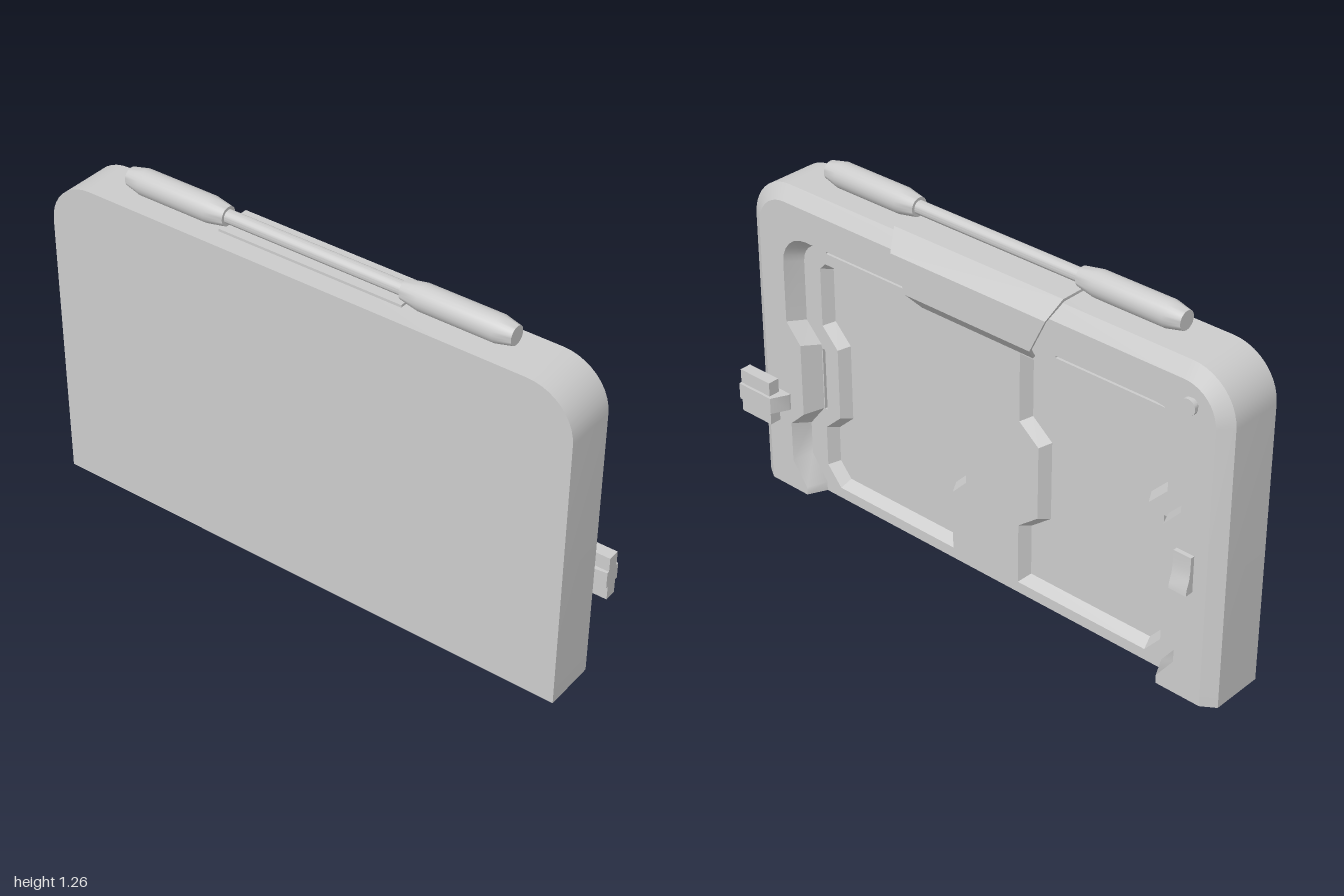
import * as THREE from 'three';
import { toCreasedNormals } from 'three/addons/utils/BufferGeometryUtils.js';

const material = new THREE.MeshStandardMaterial({ color: 0xcccccc, side: THREE.DoubleSide });
const BACK = -0.145, SHOULDER = 0.045, LIP = 0.077, DOOR = 0.01;

function add(parent, name, geometry, x = 0, y = 0, z = 0) {
  const mesh = new THREE.Mesh(toCreasedNormals(geometry, 0.6), material);
  mesh.name = name;
  mesh.position.set(x, y, z);
  parent.add(mesh);
  return mesh;
}

// Open arch running from bottom left over the top to bottom right
function arch(side, top, radius, segments) {
  const right = side.map(([u, v]) => [u, v]);
  const edge = side[side.length - 1][0];
  for (let i = 0; i <= segments; i++) {
    const a = (i / segments) * Math.PI / 2;
    right.push([edge - radius + radius * Math.cos(a), top - radius + radius * Math.sin(a)]);
  }
  return [...right.map(([u, v]) => [-u, v]), ...right.reverse()];
}

// Wall joining two matching outlines at different depths
function wall(a, wa, b, wb, closed = false) {
  const pos = [];
  const n = a.length;
  for (let i = 0; i < (closed ? n : n - 1); i++) {
    const j = (i + 1) % n;
    const A = [...a[i], wa], B = [...b[i], wb], C = [...b[j], wb], D = [...a[j], wa];
    pos.push(...A, ...B, ...C, ...A, ...C, ...D);
  }
  const g = new THREE.BufferGeometry();
  g.setAttribute('position', new THREE.Float32BufferAttribute(pos, 3));
  g.computeVertexNormals();
  return g;
}

// Move every edge of a clockwise outline inwards
function inset(points, d) {
  const n = points.length;
  const normal = (p, q) => {
    const l = Math.hypot(q[0] - p[0], q[1] - p[1]);
    return [(q[1] - p[1]) / l, (p[0] - q[0]) / l];
  };
  return points.map((p, i) => {
    const a = normal(points[(i + n - 1) % n], p), b = normal(p, points[(i + 1) % n]);
    const k = d / (1 + a[0] * b[0] + a[1] * b[1]);
    return [p[0] + (a[0] + b[0]) * k, p[1] + (a[1] + b[1]) * k];
  });
}

const toShape = pts => new THREE.Shape(pts.map(p => new THREE.Vector2(...p)));
const face = (pts, w) => new THREE.ShapeGeometry(toShape(pts)).translate(0, 0, w);
const rect = (u0, u1, v0, v1) => [[u0, v0], [u0, v1], [u1, v1], [u1, v0]];

export function createModel() {
  const model = new THREE.Group();
  model.name = 'slidingDoorUnit';

  // Shell is drawn in the door plane, then turned to face +x
  const shell = new THREE.Group();
  shell.name = 'shell';
  shell.rotation.y = Math.PI / 2;
  shell.position.z = -0.012;
  model.add(shell);

  const outer = arch([[0.987, 0]], 1.165, 0.165, 10);
  const front = arch([[0.939, 0]], 1.115, 0.12, 10);
  const lip = arch([[0.77, 0], [0.77, 0.03], [0.833, 0.115], [0.833, 0.265],
    [0.77, 0.325], [0.77, 0.595], [0.833, 0.665]], 1.0, 0.11, 6);
  const foot = arch([[0.738, 0], [0.738, 0.035], [0.805, 0.125], [0.805, 0.25],
    [0.738, 0.335], [0.738, 0.585], [0.805, 0.655]], 0.957, 0.08, 6);

  // Frame
  add(shell, 'frameSides', wall(outer, BACK, outer, SHOULDER));
  add(shell, 'frameBevel', wall(outer, SHOULDER, front, LIP));
  add(shell, 'frameFront', face([...front, ...[...lip].reverse()], LIP));
  add(shell, 'doorwayBevel', wall(lip, LIP, foot, DOOR));
  add(shell, 'backPlate', face(outer, 0).rotateY(Math.PI), 0, 0, BACK);
  const half = [[0.987, BACK], [0.987, SHOULDER], [0.939, LIP], [0.77, LIP], [0.738, DOOR]];
  add(shell, 'underside', new THREE.ShapeGeometry(
    toShape([...half, ...half.map(([u, w]) => [-u, w]).reverse()])).rotateX(Math.PI / 2));

  // Door plate with sunken panels and slits
  const plate = toShape(foot);
  function recess(name, outline, bevel, depth) {
    plate.holes.push(new THREE.Path(outline.map(p => new THREE.Vector2(...p))));
    const floor = inset(outline, bevel);
    add(shell, name + 'Wall', wall(outline, DOOR, floor, DOOR - depth, true));
    add(shell, name, face(floor, DOOR - depth));
  }
  const outerEdge = [[0.67, 0.04], [0.73, 0.11], [0.73, 0.262], [0.662, 0.325],
    [0.662, 0.59], [0.73, 0.66], [0.73, 0.875], [0.705, 0.9]];
  const innerEdge = shift => [[0, 0.9], [0, 0.655], [shift, 0.59], [shift, 0.325], [0, 0.262], [0, 0.04]];
  const leftInner = innerEdge(0.06).map(([u, v]) => [-0.143 + u, v]);
  const rightInner = innerEdge(0.08).map(([u, v]) => [0.143 + u, v]);
  recess('frontPanel', [...outerEdge.map(([u, v]) => [-u, v]), ...leftInner], 0.022, 0.04);
  recess('rearPanel', [...rightInner.reverse(), ...[...outerEdge].reverse()], 0.022, 0.04);
  recess('frontTopSlit', rect(-0.7, -0.277, 0.941, 0.953), 0, 0.02);
  recess('rearTopSlit', rect(0.285, 0.712, 0.941, 0.953), 0, 0.02);
  recess('frontSideSlit', rect(-0.734, -0.722, 0.335, 0.57), 0, 0.02);
  recess('rearSideSlit', rect(0.722, 0.734, 0.335, 0.57), 0, 0.02);
  add(shell, 'doorPlate', new THREE.ShapeGeometry(plate).translate(0, 0, DOOR));

  // Folded sheet over the top edge, narrowing downwards
  const sheet = new THREE.ExtrudeGeometry(toShape([[-0.085, 1.182], [0.05, 1.182], [0.098, 1.115],
    [0.098, 0.99], [0.05, 0.935], [0.043, 0.941], [0.089, 0.994], [0.089, 1.111],
    [0.045, 1.173], [-0.085, 1.173]]), { depth: 2, bevelEnabled: false }).translate(0, 0, -1);
  const p = sheet.attributes.position;
  for (let i = 0; i < p.count; i++) {
    const drop = Math.max(0, 1.173 - p.getY(i));
    p.setZ(i, p.getZ(i) * (0.345 - drop * 0.48));
  }
  sheet.computeVertexNormals();
  add(model, 'topFlap', sheet, 0, 0, -0.012);

  // Handle: thin bar with two tapered grips
  const handle = new THREE.Group();
  handle.name = 'handle';
  handle.position.set(-0.05, 1.214, -0.012);
  model.add(handle);
  add(handle, 'handleBar', new THREE.CylinderGeometry(0.023, 0.023, 0.72, 20).rotateX(Math.PI / 2));
  const grip = [[0, 0.332], [0.033, 0.332], [0.045, 0.4], [0.045, 0.665], [0.032, 0.724], [0, 0.724]];
  for (const s of [1, -1]) {
    add(handle, s > 0 ? 'frontGrip' : 'rearGrip', new THREE.LatheGeometry(
      grip.map(q => new THREE.Vector2(...q)), 24).rotateX(s * Math.PI / 2));
  }

  // Round button on a thin stem
  add(model, 'buttonStem', new THREE.CylinderGeometry(0.021, 0.021, 0.02, 20).rotateZ(-Math.PI / 2), 0.082, 1.045, -0.865);
  add(model, 'button', new THREE.CylinderGeometry(0.028, 0.028, 0.013, 24).rotateZ(-Math.PI / 2), 0.094, 1.045, -0.865);

  // Rocker switch with a flared lower end
  add(model, 'rockerSwitch', new THREE.ExtrudeGeometry(toShape([[0.07, 0.405], [0.108, 0.405],
    [0.106, 0.425], [0.096, 0.455], [0.092, 0.49], [0.092, 0.535], [0.07, 0.535]]),
  { depth: 0.066, bevelEnabled: false }), 0, 0, -0.902);

  // Latch at the front edge: upright block crossed by a slanted tongue
  const latch = new THREE.Group();
  latch.name = 'latch';
  model.add(latch);
  add(latch, 'latchBlock', new THREE.BoxGeometry(0.043, 0.163, 0.14), 0.1135, 0.352, 0.93);
  add(latch, 'latchTongue', new THREE.ExtrudeGeometry(toShape([[0.077, -0.82], [0.085, -0.82],
    [0.145, -0.848], [0.145, -1], [0.083, -1], [0.077, -0.95]]),
  { depth: 0.06, bevelEnabled: false }).rotateX(-Math.PI / 2), 0, 0.322, 0);

  return model;
}
